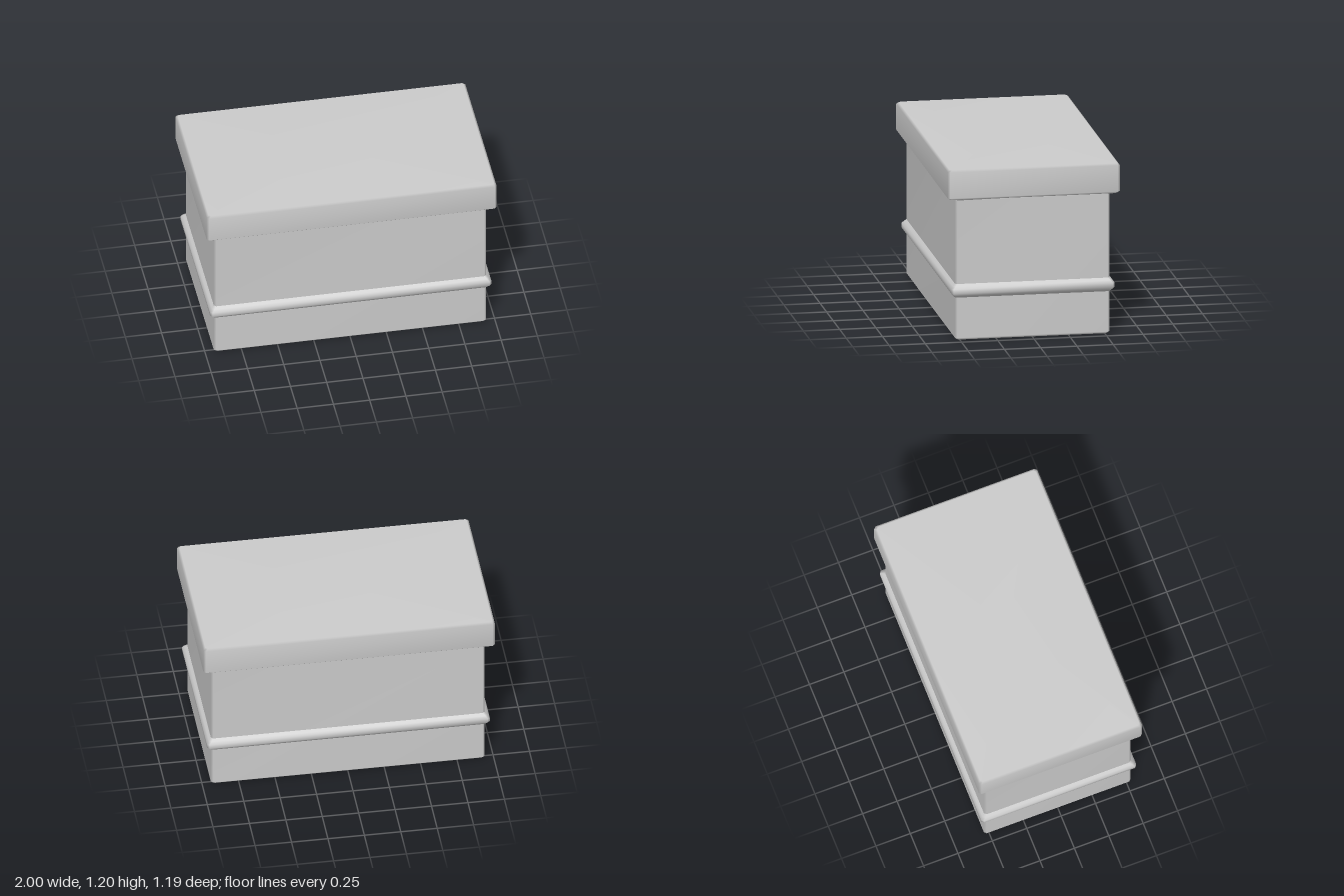
import * as THREE from 'three';

const HALF_X = 1, HALF_Z = 0.593, BEVEL = 0.015;

// Rectangle with bevelled corners, counter-clockwise seen from above
function ring(inset, y) {
  const x = HALF_X - inset, z = HALF_Z - inset, b = BEVEL;
  return [
    [x, z - b], [x, b - z], [x - b, -z], [b - x, -z],
    [-x, b - z], [-x, z - b], [b - x, z], [x - b, z],
  ].map(([px, pz]) => [px, y, pz]);
}

// Loft of rings from bottom to top; profile rows are [inset, y]
function loft(name, profile, capped) {
  const pos = profile.flatMap(([inset, y]) => ring(inset, y).flat());
  const index = [], n = 8, rows = profile.length;
  for (let i = 0; i < rows - 1; i++) {
    for (let j = 0; j < n; j++) {
      const k = (j + 1) % n;
      const a = i * n + j, b = i * n + k, c = b + n, d = a + n;
      index.push(a, b, c, a, c, d);
    }
  }
  if (capped) {
    const bottom = pos.length / 3, top = bottom + 1, last = (rows - 1) * n;
    pos.push(0, profile[0][1], 0, 0, profile[rows - 1][1], 0);
    for (let j = 0; j < n; j++) {
      const k = (j + 1) % n;
      index.push(bottom, k, j, top, last + j, last + k);
    }
  }
  const geo = new THREE.BufferGeometry();
  geo.setAttribute('position', new THREE.Float32BufferAttribute(pos, 3));
  geo.setIndex(index);
  geo.computeVertexNormals(); // area weighted, so the flats stay flat and bevels blend
  const mesh = new THREE.Mesh(geo, new THREE.MeshStandardMaterial({ color: 0xcccccc }));
  mesh.name = name;
  return mesh;
}

export function createModel() {
  const group = new THREE.Group();
  group.name = 'lidded box';

  // Body, flaring slightly under the lid
  group.add(loft('body', [
    [0.075, 0], [0.06, 0.015], [0.06, 0.975], [0.044, 0.992],
  ], true));

  // Rounded moulding around the lower body
  group.add(loft('moulding', [
    [0.06, 0.297], [0.046, 0.31], [0.03, 0.33],
    [0.03, 0.36], [0.045, 0.377], [0.06, 0.392],
  ], false));

  // Overhanging lid
  group.add(loft('lid', [
    [0.018, 0.99], [0, 1.005], [0, 1.187], [0.015, 1.2],
  ], true));

  return group;
}
